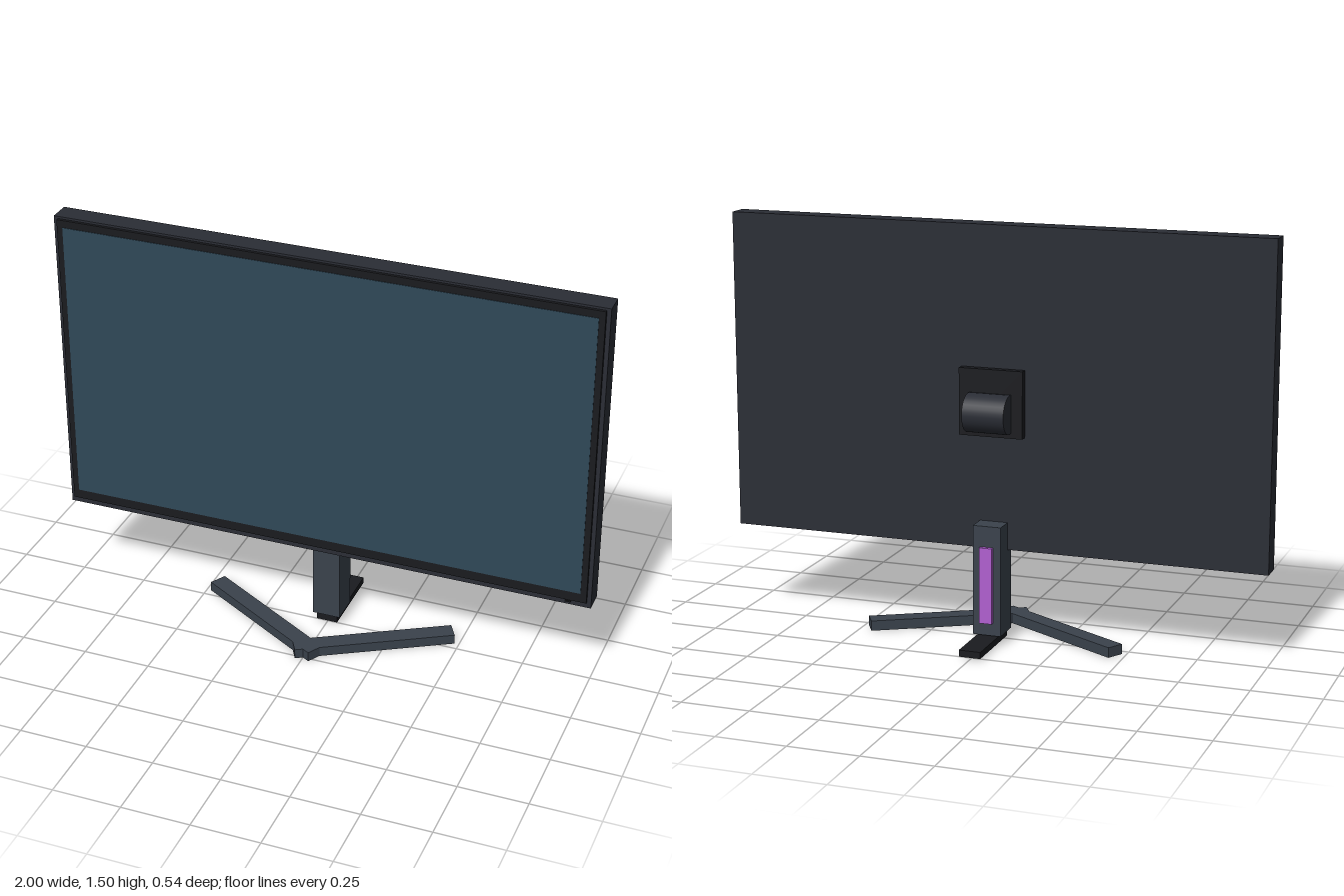
import * as THREE from 'three';

const mat = (color) => new THREE.MeshStandardMaterial({ color });
const SHELL = mat(0x2a2d35), BLACK = mat(0x1a1b1f), SCREEN = mat(0x2f4858);
const STAND = mat(0x3a424c), ACCENT = mat(0xb05fd0);

export function createModel() {
  const model = new THREE.Group();
  model.name = 'monitor';

  const add = (name, geometry, material, x, y, z) => {
    const mesh = new THREE.Mesh(geometry, material);
    mesh.name = name;
    mesh.position.set(x, y, z);
    model.add(mesh);
    return mesh;
  };
  // Box given by its ranges along each axis
  const box = (name, material, [x0, x1], [y0, y1], [z0, z1]) =>
    add(name, new THREE.BoxGeometry(x1 - x0, y1 - y0, z1 - z0), material,
      (x0 + x1) / 2, (y0 + y1) / 2, (z0 + z1) / 2);

  // Display
  box('panelShell', SHELL, [-1, 1], [0.338, 1.5], [-0.02, 0.06]);
  box('bezel', BLACK, [-0.985, 0.985], [0.362, 1.492], [0.055, 0.071]);
  box('screen', SCREEN, [-0.963, 0.963], [0.398, 1.465], [0.065, 0.073]);
  box('powerLight', BLACK, [0.91, 0.93], [0.356, 0.362], [0.058, 0.076]);

  // Rear mount: plate with a horizontal hinge drum through it
  box('mountPlate', BLACK, [-0.118, 0.118], [0.754, 0.996], [-0.056, -0.028]);
  const hinge = add('hingeDrum', new THREE.CylinderGeometry(0.07, 0.07, 0.154, 32), SHELL, 0, 0.842, -0.071);
  hinge.rotation.z = Math.PI / 2;

  // Column with its accent strip and the rear foot
  box('column', STAND, [-0.052, 0.052], [0.036, 0.438], [-0.095, 0.016]);
  box('accentStrip', ACCENT, [-0.024, 0.024], [0.083, 0.362], [-0.11, -0.09]);
  box('rearFoot', BLACK, [-0.04, 0.04], [0.008, 0.032], [-0.272, 0.01]);

  // Two legs that cross at the front in a V
  for (const side of [-1, 1]) {
    const leg = add(side < 0 ? 'rightLeg' : 'leftLeg',
      new THREE.BoxGeometry(0.588, 0.037, 0.065), STAND, side * 0.2125, 0.0185, 0.09);
    leg.rotation.y = side * Math.PI / 6;
  }
  return model;
}
